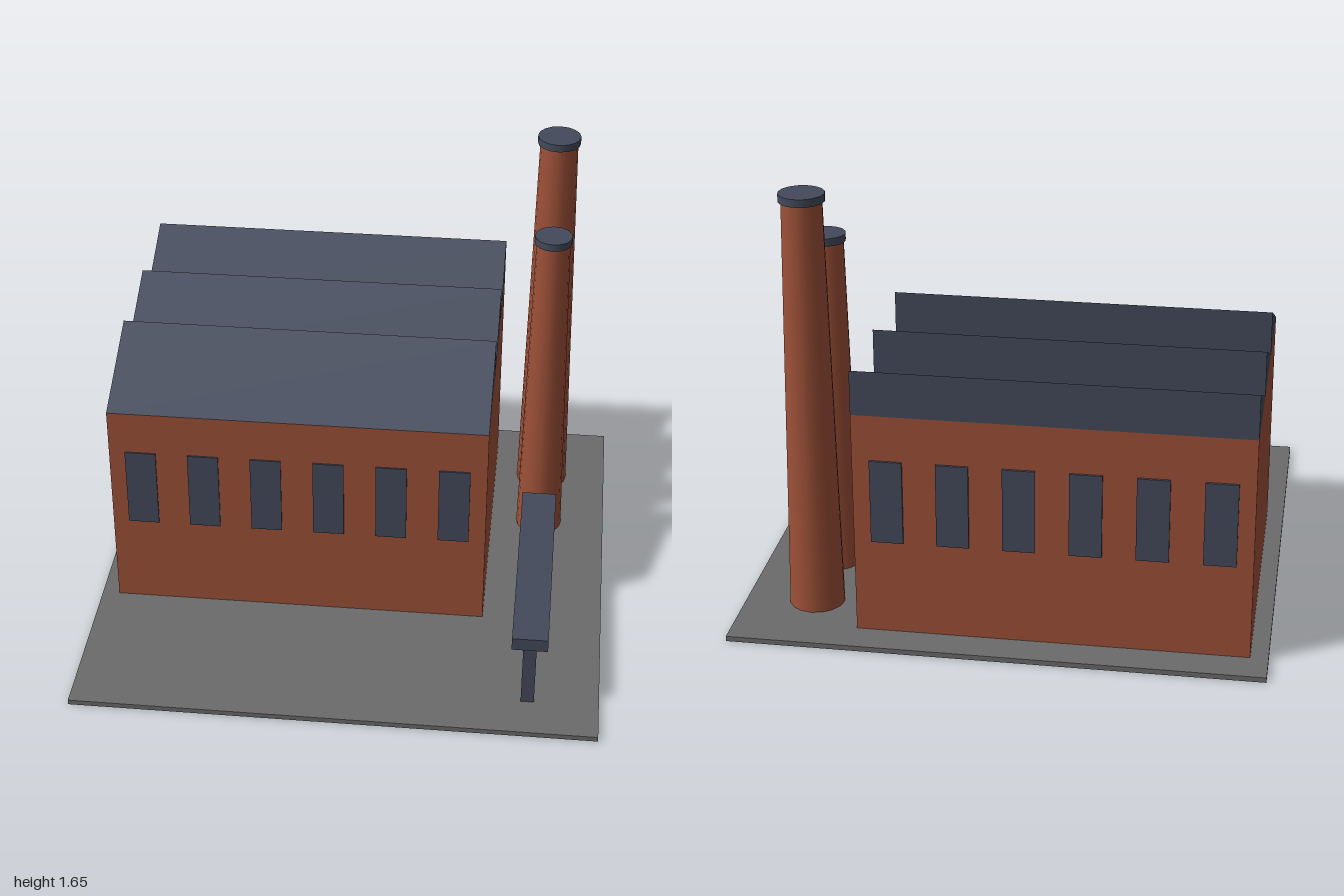
import * as THREE from 'three';

export function createModel() {
  const model = new THREE.Group();
  model.name = 'factory';

  const material = (name, color) => {
    const m = new THREE.MeshStandardMaterial({ color });
    m.name = name;
    return m;
  };
  const brick = material('brick', 0x9e5138);
  const slate = material('slate', 0x434a5b);
  const concrete = material('concrete', 0x6b6b6b);

  const add = (name, geometry, mat, x = 0, y = 0, z = 0, parent = model) => {
    const mesh = new THREE.Mesh(geometry, mat);
    mesh.name = name;
    mesh.position.set(x, y, z);
    parent.add(mesh);
    return mesh;
  };
  // Box given by its lower and upper limits on each axis
  const addBox = (name, mat, [x0, x1], [y0, y1], [z0, z1]) =>
    add(name, new THREE.BoxGeometry(x1 - x0, y1 - y0, z1 - z0), mat,
      (x0 + x1) / 2, (y0 + y1) / 2, (z0 + z1) / 2);

  // Ground slab and main hall
  const ground = 0.02, eaves = 0.89;
  const hallX = [-0.933, 0.532], hallZ = [-0.865, 0.335];
  addBox('groundSlab', concrete, [-1, 1], [0, ground], [-1, 1]);
  addBox('hallWalls', brick, hallX, [ground, eaves], hallZ);

  // Sawtooth roof: three wedges sloping down to the front, upright at the back
  const toothDepth = (hallZ[1] - hallZ[0]) / 3;
  const profile = new THREE.Shape();
  profile.moveTo(0, 0);
  profile.lineTo(toothDepth, 0);
  profile.lineTo(toothDepth, 0.172);
  profile.closePath();
  const tooth = new THREE.ExtrudeGeometry(profile, { depth: hallX[1] - hallX[0], bevelEnabled: false });
  tooth.rotateY(Math.PI / 2);
  for (let i = 0; i < 3; i++) {
    add('roofTooth', tooth, slate, hallX[0], eaves, hallZ[1] - i * toothDepth);
  }

  // Six windows along the front and back walls
  for (let i = 0; i < 6; i++) {
    const x = -0.811 + i * 0.2435;
    const span = [x - 0.06, x + 0.06];
    addBox('frontWindow', slate, span, [0.39, 0.715], [hallZ[1] - 0.002, hallZ[1] + 0.006]);
    addBox('backWindow', slate, span, [0.39, 0.715], [hallZ[0] - 0.0095, hallZ[0]]);
  }

  // Tapered chimneys with caps
  const addChimney = (name, z, bottomR, topR, capR, top) => {
    const chimney = new THREE.Group();
    chimney.name = name;
    chimney.position.set(0.73, 0, z);
    model.add(chimney);
    const capHeight = 0.03;
    const height = top - capHeight - ground;
    add('stack', new THREE.CylinderGeometry(topR, bottomR, height, 16), brick,
      0, ground + height / 2, 0, chimney);
    add('cap', new THREE.CylinderGeometry(capR, capR, capHeight, 16), slate,
      0, top - capHeight / 2, 0, chimney);
  };
  addChimney('tallChimney', -0.67, 0.105, 0.075, 0.085, 1.655);
  addChimney('shortChimney', -0.335, 0.093, 0.066, 0.074, 1.39);

  // Conveyor on two legs
  addBox('conveyorDeck', slate, [0.662, 0.797], [0.3, 0.352], [-0.067, 0.865]);
  for (const z of [0.802, 0.402]) {
    addBox('conveyorLeg', slate, [0.705, 0.755], [ground, 0.29], [z - 0.025, z + 0.025]);
  }

  return model;
}
